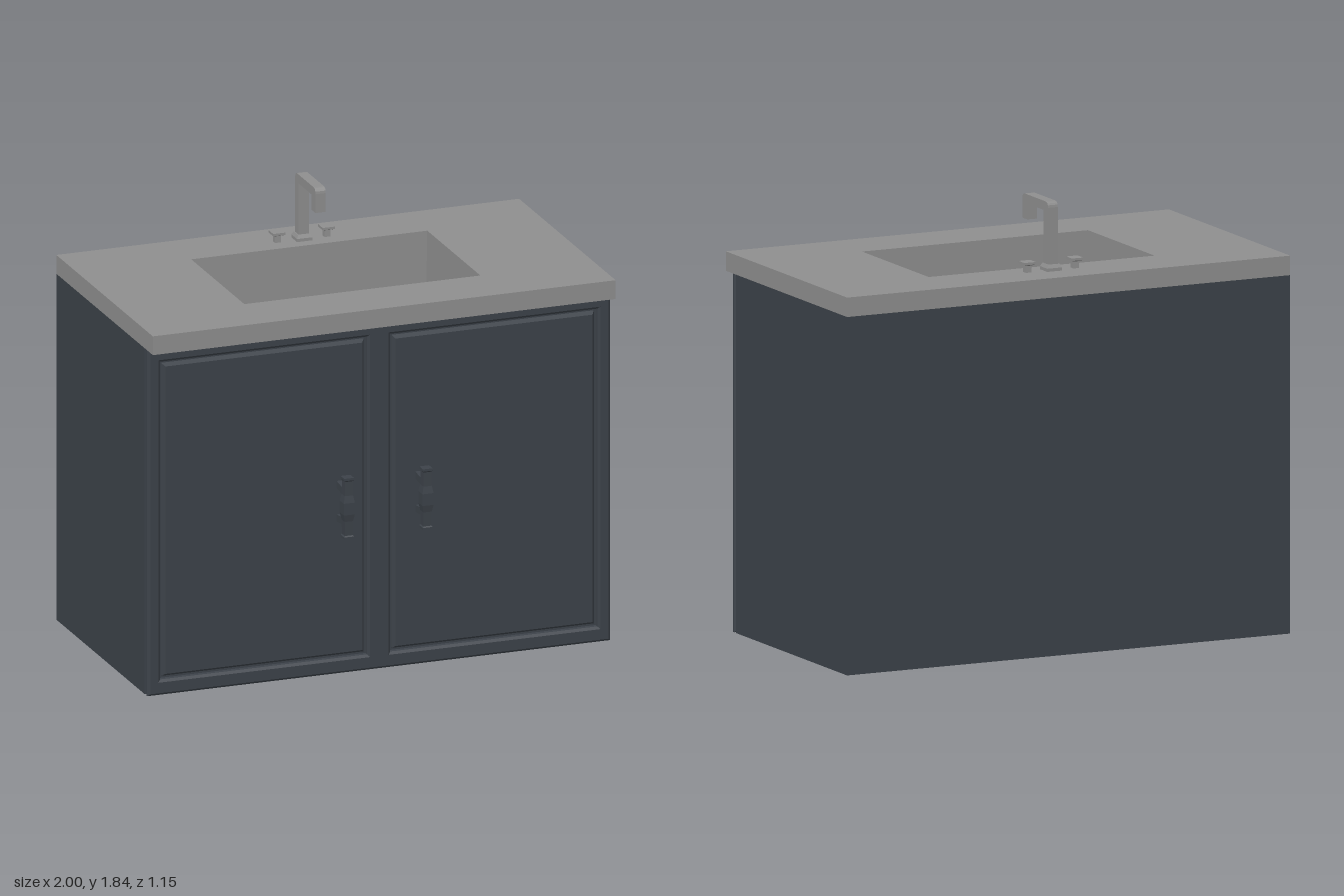
import * as THREE from 'three';

const stone = new THREE.MeshStandardMaterial({ color: 0x8e8e8e });
stone.name = 'stone grey';
const paint = new THREE.MeshStandardMaterial({ color: 0x3c4249 });
paint.name = 'slate paint';

// Flat-shaded copy of a geometry
function flat(geo) {
  const g = geo.index ? geo.toNonIndexed() : geo;
  g.computeVertexNormals();
  return g;
}

function add(parent, name, geo, material, x = 0, y = 0, z = 0) {
  const mesh = new THREE.Mesh(geo, material);
  mesh.name = name;
  mesh.position.set(x, y, z);
  parent.add(mesh);
  return mesh;
}

// Box given by its limits
function box(parent, name, material, x0, x1, y0, y1, z0, z1) {
  return add(parent, name, new THREE.BoxGeometry(x1 - x0, y1 - y0, z1 - z0), material,
    (x0 + x1) / 2, (y0 + y1) / 2, (z0 + z1) / 2);
}

function rect(Type, x0, x1, y0, y1) {
  return new Type([[x0, y0], [x1, y0], [x1, y1], [x0, y1]].map(p => new THREE.Vector2(...p)));
}

function plate(outer, holes, options) {
  const shape = rect(THREE.Shape, ...outer);
  shape.holes = holes.map(h => rect(THREE.Path, ...h));
  return new THREE.ExtrudeGeometry(shape, { bevelEnabled: false, ...options });
}

// Nested rectangles joined by strips and closed by the innermost one; steps are [inset, z]
function steppedPanel([x0, x1, y0, y1], steps) {
  const pos = [], index = [];
  steps.forEach(([i, z], k) => {
    pos.push(x0 + i, y0 + i, z, x1 - i, y0 + i, z, x1 - i, y1 - i, z, x0 + i, y1 - i, z);
    if (k === 0) return;
    for (let a = 0; a < 4; a++) {
      const b = (a + 1) % 4, o = 4 * (k - 1), n = 4 * k;
      index.push(o + a, o + b, n + b, o + a, n + b, n + a);
    }
  });
  const c = 4 * (steps.length - 1);
  index.push(c, c + 1, c + 2, c, c + 2, c + 3);
  const g = new THREE.BufferGeometry();
  g.setAttribute('position', new THREE.Float32BufferAttribute(pos, 3));
  g.setIndex(index);
  return flat(g);
}

// Square-section turned shape; profile points are [half width, y]
function squareTurned(profile) {
  const pts = profile.map(([w, y]) => new THREE.Vector2(w * Math.SQRT2, y));
  return flat(new THREE.LatheGeometry(pts, 4, Math.PI / 4));
}

export function createModel() {
  const model = new THREE.Group();
  model.name = 'vanity';

  // Cabinet: hollow walls and a floor
  const walls = plate([-1, 1, -0.435, 0.57], [[-0.96, 0.96, -0.4, 0.53]], { depth: 1.475 });
  add(model, 'cabinetWalls', walls.rotateX(-Math.PI / 2), paint);
  box(model, 'cabinetFloor', paint, -0.97, 0.97, 0, 0.04, -0.54, 0.41);

  // Door front with two framed, grooved panels
  const openings = [[-0.945, -0.05, 0.065, 1.42], [0.05, 0.945, 0.065, 1.42]];
  add(model, 'doorFrame', plate([-1, 1, 0, 1.475], openings, {
    depth: 0.01, bevelEnabled: true, bevelSegments: 1,
    bevelSize: 0.01, bevelThickness: 0.01, bevelOffset: -0.01,
  }), paint, 0, 0, 0.455);
  for (const o of openings) {
    add(model, 'doorPanel', steppedPanel(o,
      [[-0.002, 0.466], [0.002, 0.452], [0.01, 0.452], [0.022, 0.469]]), paint);
    box(model, 'doorBack', paint, o[0] - 0.005, o[1] + 0.005, o[2] - 0.005, o[3] + 0.005, 0.446, 0.451);
  }

  // Door pulls: swelling square bars on two posts
  for (const side of [-1, 1]) {
    const pull = new THREE.Group();
    pull.name = 'doorPull';
    pull.position.set(side * 0.17, 0.735, 0.557);
    add(pull, 'pullBar', squareTurned([
      [0, -0.13], [0.021, -0.13], [0.021, -0.12], [0.017, -0.115], [0.018, -0.055], [0.024, -0.025],
      [0.024, 0.025], [0.018, 0.055], [0.017, 0.115], [0.021, 0.12], [0.021, 0.13], [0, 0.13],
    ]), paint);
    for (const s of [-1, 1]) {
      const post = add(pull, 'pullPost', new THREE.BoxGeometry(0.026, 0.03, 0.1), paint, 0, s * 0.066, -0.043);
      post.rotation.x = s * 0.12;
    }
    model.add(pull);
  }

  // Countertop with sunken basin
  const bowl = [-0.51, 0.51, -0.28, 0.325];
  const top = plate([-1, 1, -0.53, 0.57], [bowl], { depth: 0.08 });
  add(model, 'countertop', top.rotateX(-Math.PI / 2), stone, 0, 1.475, 0);
  const basin = steppedPanel(bowl, [[0, 1.555], [0.008, 1.25], [0.02, 1.23], [0.045, 1.22]]);
  add(model, 'basin', basin.rotateX(-Math.PI / 2), stone);
  box(model, 'drain', stone, -0.04, 0.04, 1.216, 1.225, -0.06, 0.02);

  // Spout: square tube with softened corners
  const s = new THREE.Shape();
  s.moveTo(0.388, 1.57);
  s.lineTo(0.43, 1.57);
  s.lineTo(0.427, 1.815);
  s.quadraticCurveTo(0.427, 1.838, 0.404, 1.838);
  s.lineTo(0.218, 1.838);
  s.quadraticCurveTo(0.195, 1.838, 0.195, 1.815);
  s.lineTo(0.195, 1.735);
  s.lineTo(0.24, 1.735);
  s.lineTo(0.24, 1.8);
  s.lineTo(0.388, 1.8);
  const spout = new THREE.ExtrudeGeometry(s, { depth: 0.044, bevelEnabled: false, curveSegments: 4 });
  spout.translate(0, 0, -0.022).rotateY(Math.PI / 2);
  add(model, 'spout', spout, stone);
  add(model, 'spoutBase', squareTurned([[0, 0], [0.033, 0], [0.033, 0.013], [0.026, 0.027], [0, 0.027]]),
    stone, 0, 1.555, -0.409);

  // Tap knobs
  for (const side of [-1, 1]) {
    add(model, 'tapKnob', squareTurned([
      [0, 0], [0.013, 0], [0.012, 0.028], [0.026, 0.034], [0.026, 0.044], [0, 0.044],
    ]), stone, side * 0.107, 1.555, -0.41);
  }
  return model;
}
